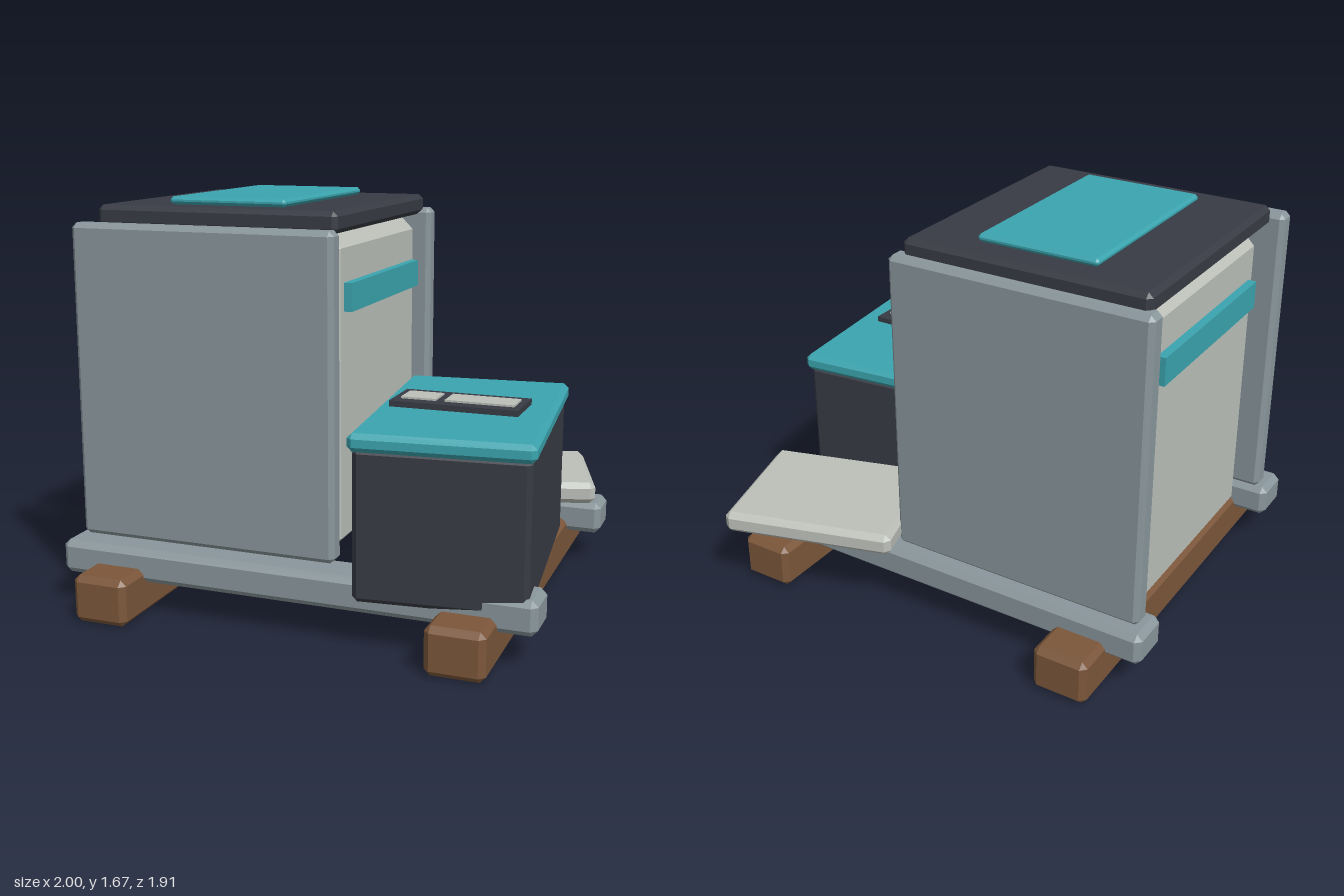
import * as THREE from 'three';
import { ConvexGeometry } from 'three/addons/geometries/ConvexGeometry.js';

const material = (name, color) => {
  const m = new THREE.MeshStandardMaterial({ color });
  m.name = name;
  return m;
};

// Box with flat chamfers of size b on all edges, centred on the origin
function chamferBox(w, h, d, b) {
  const half = [w / 2, h / 2, d / 2];
  const points = [];
  for (const sx of [-1, 1]) for (const sy of [-1, 1]) for (const sz of [-1, 1]) {
    const s = [sx, sy, sz];
    for (let axis = 0; axis < 3; axis++) {
      points.push(new THREE.Vector3(...half.map((v, i) => s[i] * (i === axis ? v : v - b))));
    }
  }
  return new ConvexGeometry(points);
}

export function createModel() {
  const model = new THREE.Group();
  model.name = 'palletMachine';

  const steel = material('steelGrey', 0x89969b);
  const dark = material('charcoal', 0x383b44);
  const teal = material('teal', 0x3ba4ae);
  const pale = material('paleGrey', 0xbbbfb8);
  const wood = material('woodBrown', 0x7b563a);

  // Adds a box given by its extents; b = 0 gives sharp edges
  function addBox(name, mat, [x0, x1], [y0, y1], [z0, z1], b = 0.02, turn = 0) {
    const size = [x1 - x0, y1 - y0, z1 - z0];
    const geometry = b > 0 ? chamferBox(...size, b) : new THREE.BoxGeometry(...size);
    const mesh = new THREE.Mesh(geometry, mat);
    mesh.name = name;
    mesh.position.set((x0 + x1) / 2, (y0 + y1) / 2, (z0 + z1) / 2);
    mesh.rotation.y = turn;
    model.add(mesh);
    return mesh;
  }
  const around = (c, size) => [c - size / 2, c + size / 2];

  // Wooden skids and steel cross beams
  for (const x of [-0.737, 0.733]) {
    addBox('skid', wood, around(x, 0.235), [0, 0.195], [-0.828, 0.956], 0.024);
  }
  for (const z of [-0.567, 0.697]) {
    addBox('crossBeam', steel, [-1, 1], [0.135, 0.275], around(z, 0.192), 0.025);
  }

  // Upright end panels
  for (const z of [-0.565, 0.645]) {
    addBox('endPanel', steel, [-0.96, 0.167], [0.278, 1.576], around(z, 0.09), 0.02);
  }

  // Main cabinet with overhanging lid
  addBox('cabinet', pale, [-0.9, 0.105], [0.237, 1.55], [-0.52, 0.505], 0.063);
  addBox('cabinetLid', dark, [-0.925, 0.125], [1.55, 1.638], [-0.565, 0.54], 0.02);
  addBox('lidPlate', teal, [-0.655, -0.14], [1.638, 1.67], [-0.445, 0.42], 0.012);

  // Trim bars on both cabinet sides
  for (const x of [-0.915, 0.12]) {
    addBox('sideTrim', teal, around(x, 0.04), [1.235, 1.35], [-0.435, 0.41], 0);
  }

  // Door with slats behind the front end panel
  addBox('door', dark, [-0.8, 0.01], [0.38, 1.42], [0.505, 0.572], 0.02);
  for (let i = 0; i < 4; i++) {
    addBox('doorSlat', steel, [-0.72, -0.06], around(1.217 - i * 0.237, 0.16), [0.56, 0.603], 0.015);
  }

  // Turned storage bin with its lid
  const turn = 0.1;
  const binX = 0.577, binZ = 0.272;
  addBox('bin', dark, around(binX, 0.67), [0.2, 0.8], around(binZ, 1.08), 0.02, turn);
  addBox('binLid', teal, around(binX, 0.702), [0.788, 0.86], around(binZ, 1.115), 0.02, turn);

  // Display on the bin lid
  addBox('display', dark, [0.287, 0.813], [0.855, 0.884], [0.152, 0.385], 0);
  for (const xs of [[0.32, 0.465], [0.502, 0.785]]) {
    addBox('displayField', pale, xs, [0.884, 0.892], [0.21, 0.33], 0);
  }

  // Loose cover plate resting on the rear beam
  addBox('loosePlate', pale, around(0.55, 0.743), [0.296, 0.392], around(-0.575, 0.587), 0.024, 0.292);

  return model;
}
